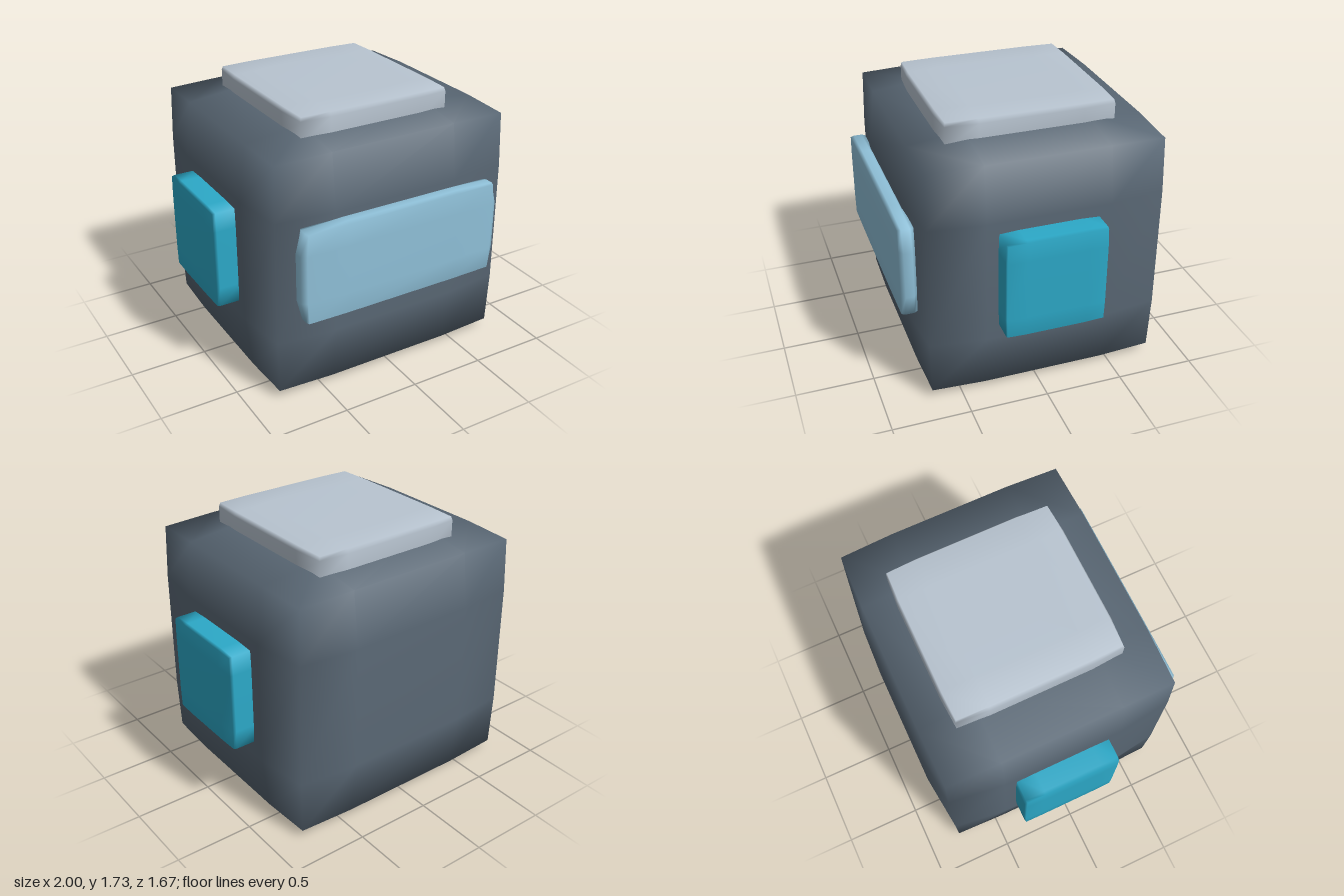
import * as THREE from 'three';
import { mergeVertices } from 'three/addons/utils/BufferGeometryUtils.js';

// Soft block: a 3x3x3 box whose edges and corners are pulled in, with smooth normals.
// min/max give the extents; inner and edge are per-axis fractions of the half size.
function softBlock(name, color, min, max, inner, edge) {
  const box = new THREE.BoxGeometry(2, 2, 2, 3, 3, 3);
  const shared = new THREE.BufferGeometry();
  shared.setAttribute('position', box.getAttribute('position'));
  shared.setIndex(box.getIndex());
  const geo = mergeVertices(shared, 0.001);
  const pos = geo.getAttribute('position');
  for (let i = 0; i < pos.count; i++) {
    const p = [pos.getX(i), pos.getY(i), pos.getZ(i)];
    // 1 = inside a face, 2 = on an edge, 3 = at a corner
    const rank = p.filter((v) => Math.abs(v) > 0.9).length;
    const q = p.map((v, a) => {
      const rim = [1, edge[a], edge[a] - 0.012][rank - 1];
      const f = Math.abs(v) > 0.9 ? rim : inner[a];
      return (min[a] + max[a]) / 2 + Math.sign(v) * f * (max[a] - min[a]) / 2;
    });
    pos.setXYZ(i, q[0], q[1], q[2]);
  }
  geo.computeVertexNormals();
  const mesh = new THREE.Mesh(geo, new THREE.MeshStandardMaterial({ color }));
  mesh.name = name;
  return mesh;
}

export function createModel() {
  const group = new THREE.Group();
  group.name = 'helmetHead';

  // Main shell
  group.add(softBlock('shell', 0x5a6875,
    [-0.85, 0, -0.835], [0.85, 1.62, 0.74], [0.5, 0.5, 0.5], [0.947, 0.947, 0.947]));

  // Visor across the front
  group.add(softBlock('visor', 0x8fc0d8,
    [-0.7, 0.56, 0.725], [0.7, 1.18, 0.832], [0.55, 0.5, 0.5], [0.95, 0.96, 0.95]));

  // Plate on top
  group.add(softBlock('topPlate', 0xb8c4d0,
    [-0.525, 1.53, -0.6], [0.525, 1.73, 0.5], [0.6, 0.7, 0.6], [0.97, 0.96, 0.975]));

  // Side pads, mirrored
  for (const [name, x0, x1] of [['leftPad', 0.8, 1], ['rightPad', -1, -0.8]]) {
    group.add(softBlock(name, 0x2ca9c8,
      [x0, 0.493, -0.365], [x1, 1.148, 0.275], [0.75, 0.6, 0.6], [0.96, 0.98, 0.985]));
  }

  return group;
}
